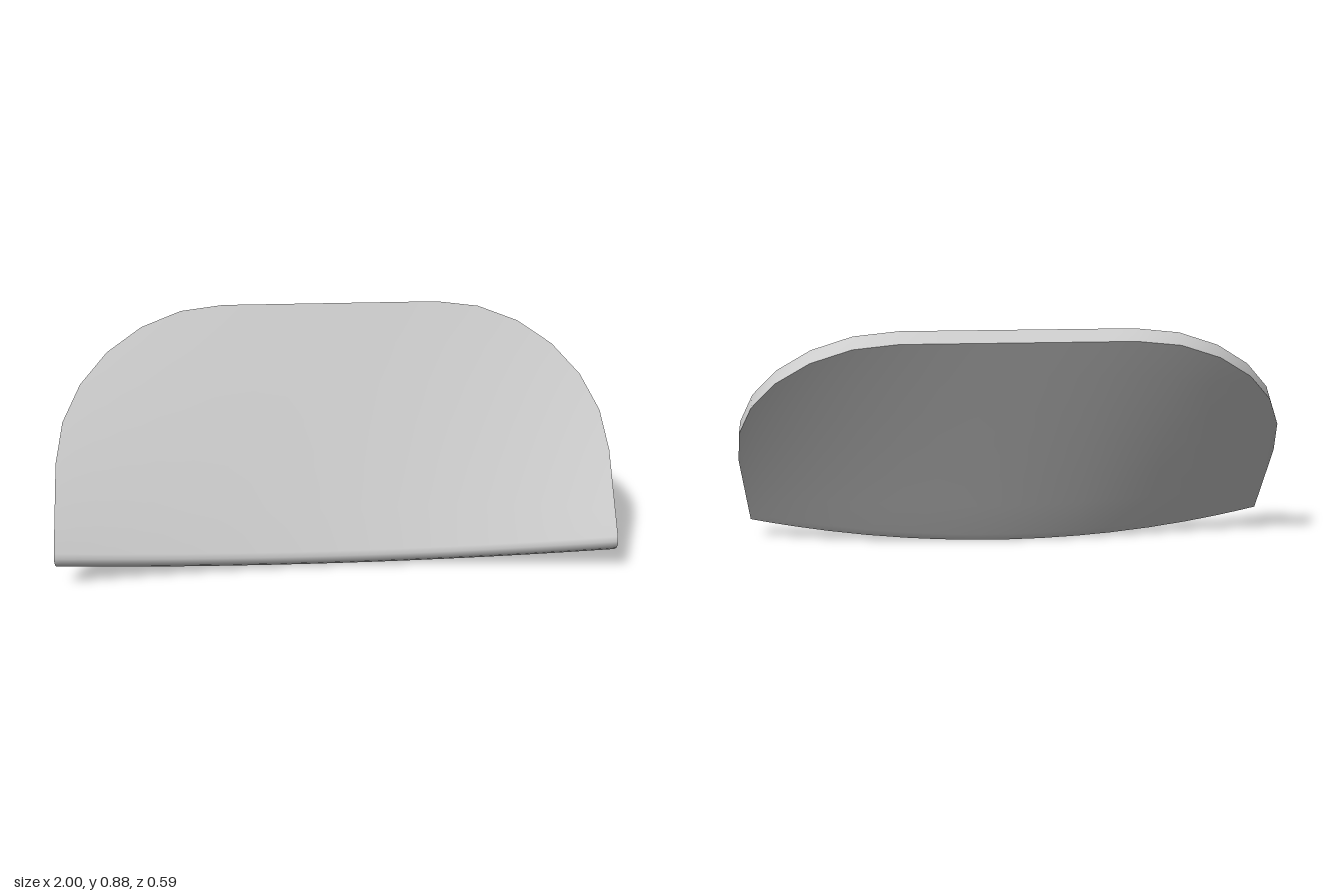
import * as THREE from 'three';

const HEIGHT = 0.946;      // panel length along its slope
const SHOULDER = 0.357;    // where the rounded upper corners begin
const THICK = 0.063;
const ROUND = 0.035;       // radius of the rounded lower front edge
const SAG = 0.129;         // depth of the bow at the lower middle

// Panel coordinates (x across, v up the slope, n out of the front) to space.
// The bow is deepest at the bottom and fades out towards the top.
function place(x, v, n) {
  const fade = Math.min(1, (HEIGHT - v) / (HEIGHT - ROUND));
  const d = n - SAG * (1 - x * x) * fade;
  return [x, 0.075 + 0.814 * v + 0.581 * d, 0.26 - 0.581 * v + 0.814 * d];
}

// Smooth grid surface from rows of points; rows[j][i], i to the right, j up
function sheet(name, rows, material) {
  const w = rows[0].length;
  const index = [];
  for (let j = 0; j < rows.length - 1; j++) {
    for (let i = 0; i < w - 1; i++) {
      const a = j * w + i, b = a + 1, c = a + w, d = c + 1;
      index.push(a, b, d, a, d, c);
    }
  }
  const geometry = new THREE.BufferGeometry();
  geometry.setAttribute('position', new THREE.Float32BufferAttribute(rows.flat(2), 3));
  geometry.setIndex(index);
  geometry.computeVertexNormals();
  const mesh = new THREE.Mesh(geometry, material);
  mesh.name = name;
  return mesh;
}

export function createModel() {
  const group = new THREE.Group();
  group.name = 'curvedBackrest';
  const material = new THREE.MeshStandardMaterial({ color: 0xcccccc });

  // Elliptical upper corner, from the side to the flat top
  const corner = [];
  for (let k = 0; k <= 6; k++) {
    const a = (k * Math.PI) / 12;
    corner.push([0.4 + 0.6 * Math.cos(a), SHOULDER + (HEIGHT - SHOULDER) * Math.sin(a)]);
  }
  // Columns [x, top] across the panel, left to right
  const half = [...corner, [0.27, HEIGHT], [0.13, HEIGHT]];
  const mirrored = half.map(([x, v]) => [-x, v]);
  const columns = [...mirrored, [0, HEIGHT], ...half.slice().reverse()];

  // Rounded lower front edge as [v, n]
  const lip = [[0, THICK - ROUND]];
  for (let k = 1; k <= 3; k++) {
    const a = (k * Math.PI) / 6;
    lip.push([ROUND * (1 - Math.cos(a)), THICK - ROUND + ROUND * Math.sin(a)]);
  }
  const rise = (n) => [1, 2, 3, 4, 5, 6].map((k) =>
    columns.map(([x, top]) => place(x, ROUND + ((top - ROUND) * k) / 6, n)));
  const level = ([v, n]) => columns.map(([x]) => place(x, v, n));

  // Front face with the underside and rounded lip
  group.add(sheet('frontFace', [[0, 0], ...lip].map(level).concat(rise(THICK)), material));

  // Back face, turned round
  const back = [[0, 0], [ROUND, 0]].map(level).concat(rise(0));
  group.add(sheet('backFace', back.map((row) => row.slice().reverse()), material));

  // Rim up one side, over the top and down the other, as [x, v, n]
  const side = [
    ...lip.map(([v, n]) => [1, v, n]),
    ...corner.map(([x, v]) => [x, v, THICK]),
    [0.27, HEIGHT, THICK], [0.13, HEIGHT, THICK],
  ];
  const path = [...side, [0, HEIGHT, THICK],
    ...side.map(([x, v, n]) => [-x, v, n]).reverse()];
  group.add(sheet('rim', [
    path.map(([x, v]) => place(x, v, 0)),
    path.map(([x, v, n]) => place(x, v, n)),
  ], material));

  return group;
}
